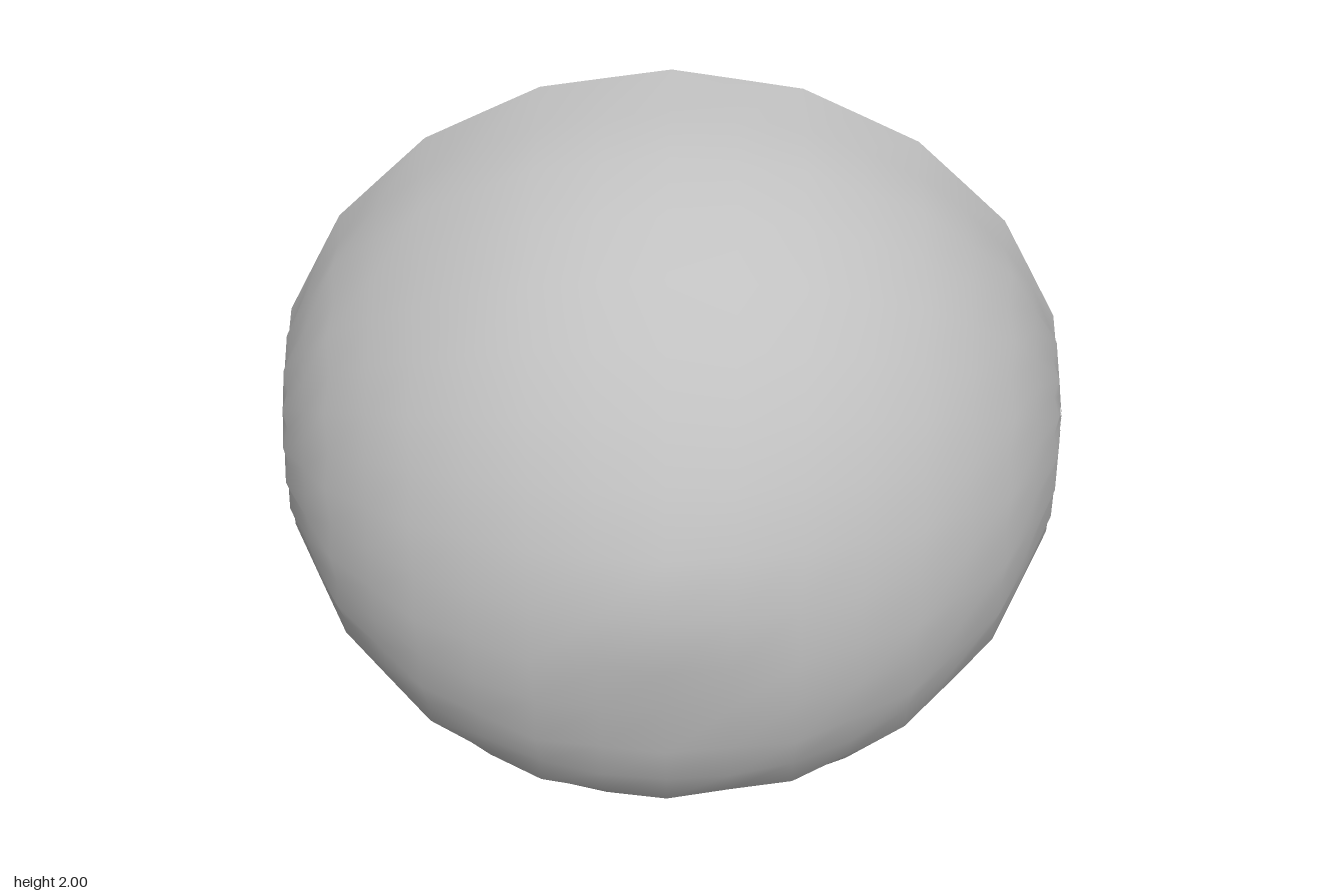
import * as THREE from 'three';

const clay = new THREE.MeshStandardMaterial({ color: 0xc0c0c0 });
clay.name = 'lightGrey';
const rad = THREE.MathUtils.degToRad;

function add(parent, name, geometry, x = 0, y = 0, z = 0, rotZ = 0) {
  const mesh = new THREE.Mesh(geometry, clay);
  mesh.name = name;
  mesh.position.set(x, y, z);
  mesh.rotation.z = rad(rotZ);
  parent.add(mesh);
  return mesh;
}

// Three quarters of a ball, open towards +y / -z, with its poles on the x axis
const threeQuarterBall = (r, around, along) =>
  new THREE.SphereGeometry(r, around, along, 0, Math.PI * 1.5).rotateZ(-Math.PI / 2);

// Two frames for the cut faces: x and y run along the face, z points out of it
function cutFaces(parent, name) {
  const floor = new THREE.Group();
  floor.name = name + 'Floor';
  floor.rotation.x = -Math.PI / 2;
  const wall = new THREE.Group();
  wall.name = name + 'Wall';
  wall.rotation.y = Math.PI;
  parent.add(floor, wall);
  return [floor, wall];
}

// Curved band between two radii, with round ends if wanted
function band(rIn, rOut, from, to, height, round = true, bevel = 0) {
  const a = rad(from), b = rad(to), mid = (rIn + rOut) / 2, w = (rOut - rIn) / 2;
  const s = new THREE.Shape();
  s.absarc(0, 0, rOut, a, b, false);
  if (round) s.absarc(mid * Math.cos(b), mid * Math.sin(b), w, b, b + Math.PI, false);
  s.absarc(0, 0, rIn, b, a, true);
  if (round) s.absarc(mid * Math.cos(a), mid * Math.sin(a), w, a + Math.PI, a + 2 * Math.PI, false);
  return new THREE.ExtrudeGeometry(s, {
    depth: height - bevel, curveSegments: 10, bevelEnabled: bevel > 0,
    bevelSize: bevel, bevelOffset: -bevel, bevelThickness: bevel, bevelSegments: 3,
  });
}

// A stack of bands about one centre; links are the short bridges between them
function stack(parent, name, cx, cy, height, bands, links) {
  const group = new THREE.Group();
  group.name = name;
  group.position.set(cx, cy, 0);
  parent.add(group);
  for (const [r0, r1, a, b] of bands) add(group, 'foldedBand', band(r0, r1, a, b, height));
  for (const [r0, r1, a, b] of links) add(group, 'bandLink', band(r0, r1, a, b, height, false));
}

function scatter(parent, discs, beans) {
  for (const [x, y] of discs)
    add(parent, 'vesicleDisc', new THREE.CylinderGeometry(0.068, 0.068, 0.03, 24).rotateX(Math.PI / 2), x, y, 0.015);
  for (const [x, y, turn] of beans)
    add(parent, 'beanBody', band(0.08, 0.18, 246, 294, 0.032, true, 0.012).translate(0, 0.13, 0), x, y, 0, turn);
}

// Outer shell: coarse facets with a few soft dents (direction, depth)
function shellGeometry() {
  const g = threeQuarterBall(1, 30, 20);
  const dents = [
    [new THREE.Vector3(0, -0.15, 1), -0.035],
    [new THREE.Vector3(0, 0.2, 1), 0.02],
    [new THREE.Vector3(0.1, -0.8, 0.6), -0.03],
    [new THREE.Vector3(-0.55, -0.78, 0.2), -0.02],
    [new THREE.Vector3(-0.6, 0.7, 0.4), -0.015],
  ];
  dents.forEach(([d]) => d.normalize());
  const p = g.attributes.position, v = new THREE.Vector3();
  for (let i = 0; i < p.count; i++) {
    const col = i % 31, row = Math.floor(i / 31);
    v.fromBufferAttribute(p, i);
    let r = (col % 2 || row % 2) ? 0.988 : 1;
    if (col > 0 && col < 30)
      for (const [d, depth] of dents) r += depth * Math.exp(-v.distanceToSquared(d) / 0.05);
    v.multiplyScalar(r);
    p.setXYZ(i, v.x, v.y, v.z);
  }
  g.computeVertexNormals();
  return g;
}

export function createModel() {
  const model = new THREE.Group();
  model.name = 'cutawayCell';
  const cell = new THREE.Group();
  cell.name = 'cell';
  cell.position.y = 1;
  model.add(cell);

  // Body and its two cut faces
  add(cell, 'outerShell', shellGeometry());
  const [floor, wall] = cutFaces(cell, 'cell');
  for (const face of [floor, wall]) add(face, 'cutFace', new THREE.CircleGeometry(1, 10, 0, Math.PI));

  // Nucleus, tipped slightly forward, with its core
  const nucleus = new THREE.Group();
  nucleus.name = 'nucleus';
  nucleus.position.set(0, 0.11, -0.13);
  nucleus.rotation.x = -0.19;
  cell.add(nucleus);
  add(nucleus, 'nucleusShell', threeQuarterBall(0.265, 24, 20));
  for (const face of cutFaces(nucleus, 'nucleus'))
    add(face, 'nucleusCutFace', new THREE.CircleGeometry(0.265, 20, 0, Math.PI));
  add(cell, 'nucleolus', new THREE.SphereGeometry(0.085, 20, 14), 0, 0.12, -0.15);

  // Folded membranes round the nucleus
  stack(floor, 'floorMembrane', 0, 0, 0.06, [
    [0.475, 0.525, 107, 176], [0.385, 0.43, 78, 170],
    [0.475, 0.525, 5, 86], [0.405, 0.44, 6, 62], [0.345, 0.38, 8, 58],
  ], [[0.42, 0.485, 150, 156], [0.37, 0.41, 55, 61], [0.43, 0.485, 28, 33]]);
  stack(wall, 'wallMembrane', 0, 0.06, 0.06, [
    [0.48, 0.53, 3, 86], [0.395, 0.44, 3, 84],
    [0.465, 0.515, 107, 176], [0.38, 0.425, 80, 174], [0.31, 0.345, 70, 175],
  ], [[0.43, 0.49, 40, 45], [0.415, 0.475, 140, 146], [0.335, 0.39, 84, 90]]);

  // Smaller stacked organelles on the floor
  stack(floor, 'archStack', -0.49, 0.69, 0.035, [
    [0.235, 0.265, 230, 295], [0.195, 0.225, 312, 370],
    [0.165, 0.19, 228, 300], [0.145, 0.17, 308, 372], [0.09, 0.12, 240, 375],
  ], [[0.18, 0.245, 262, 272], [0.16, 0.205, 335, 345], [0.11, 0.175, 285, 297], [0.11, 0.155, 355, 372]]);
  stack(floor, 'ribbonStack', 0, 0.08, 0.035, [
    [0.595, 0.625, 0, 37], [0.65, 0.68, 1, 38], [0.705, 0.735, 0, 37], [0.765, 0.795, 0, 25],
  ], [
    [0.62, 0.655, 8, 11], [0.62, 0.655, 24, 27], [0.675, 0.71, 14, 17],
    [0.675, 0.71, 30, 33], [0.73, 0.77, 6, 9], [0.73, 0.77, 20, 23],
  ]);

  // Discs and beans
  scatter(floor, [[-0.07, 0.63], [0.19, 0.78], [-0.66, 0.2]],
    [[-0.06, 0.87, 0], [0.46, 0.68, -52]]);
  scatter(wall, [[-0.11, 0.715], [-0.6, 0.315]],
    [[-0.5, 0.615, 8], [0.26, 0.7, -46], [-0.78, 0.185, -58]]);

  // Pair of short rods on the wall
  const rod = new THREE.CylinderGeometry(0.047, 0.047, 0.17, 20);
  add(wall, 'upperRod', rod, 0.57, 0.435, 0.035, -118);
  add(wall, 'lowerRod', rod, 0.55, 0.3, 0.035, -145);

  return model;
}
